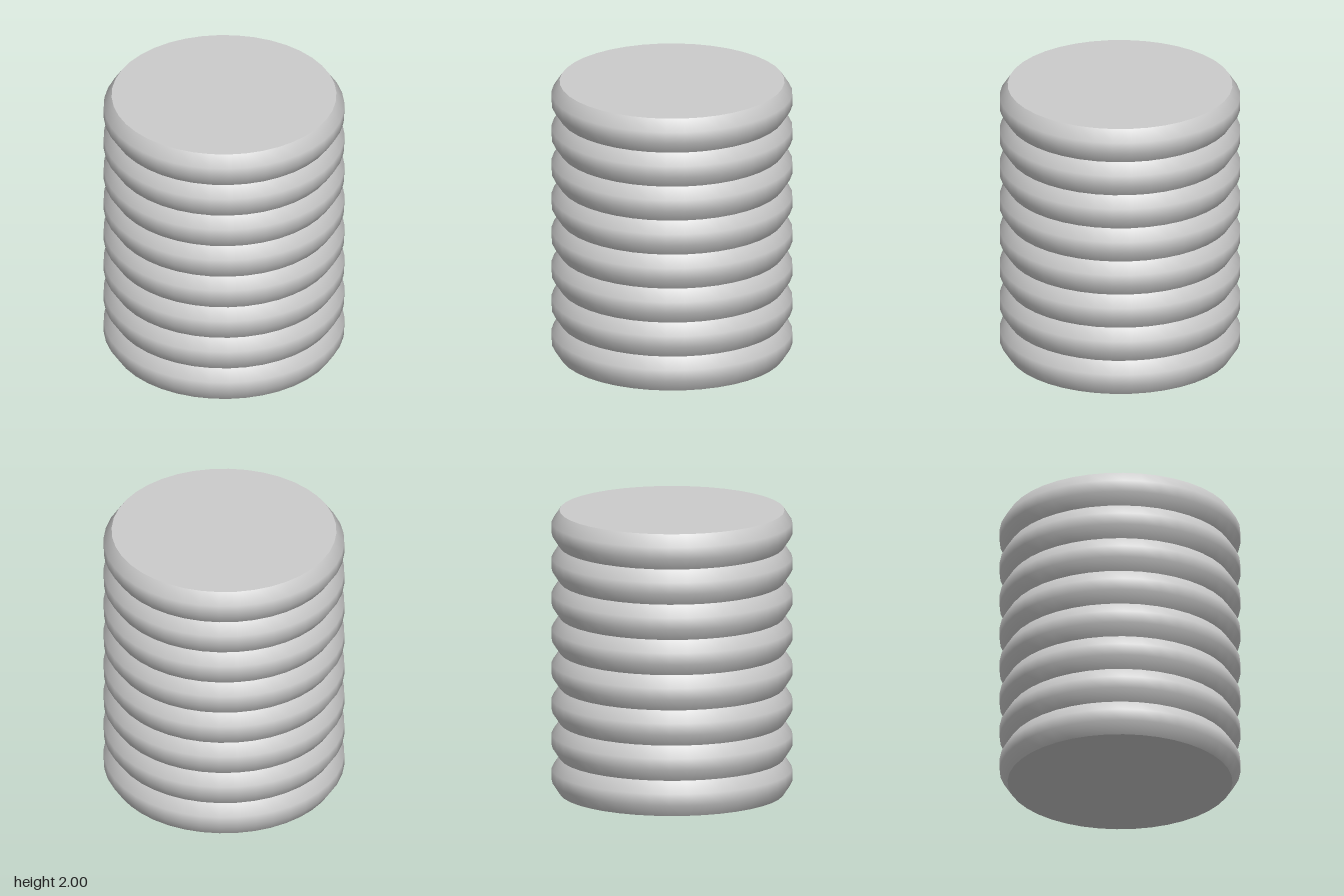
import * as THREE from 'three';

const SEGMENTS = 40;
const RING_COUNT = 8;
const RING_HEIGHT = 0.25;
const INNER_RADIUS = 0.78;
const OUTER_RADIUS = 0.835;

export function createModel() {
  const group = new THREE.Group();
  group.name = 'ribbedCylinder';
  const material = new THREE.MeshStandardMaterial({ color: 0xcccccc });

  // One bulging ring: narrow at both ends, wide over the middle third
  const profile = [INNER_RADIUS, OUTER_RADIUS, OUTER_RADIUS, INNER_RADIUS]
    .map((r, i) => new THREE.Vector2(r, (i * RING_HEIGHT) / 3));
  const ringGeometry = new THREE.LatheGeometry(profile, SEGMENTS);

  // Stack of rings, smooth within each and creased at the grooves
  for (let i = 0; i < RING_COUNT; i++) {
    const ring = new THREE.Mesh(ringGeometry, material);
    ring.name = `ring${i + 1}`;
    ring.position.y = i * RING_HEIGHT;
    group.add(ring);
  }

  // Flat end caps
  const capGeometry = new THREE.CircleGeometry(INNER_RADIUS, SEGMENTS);
  const addCap = (name, y, tilt) => {
    const cap = new THREE.Mesh(capGeometry, material);
    cap.name = name;
    cap.position.y = y;
    cap.rotation.x = tilt;
    group.add(cap);
  };
  addCap('topCap', RING_COUNT * RING_HEIGHT, -Math.PI / 2);
  addCap('bottomCap', 0, Math.PI / 2);

  return group;
}
